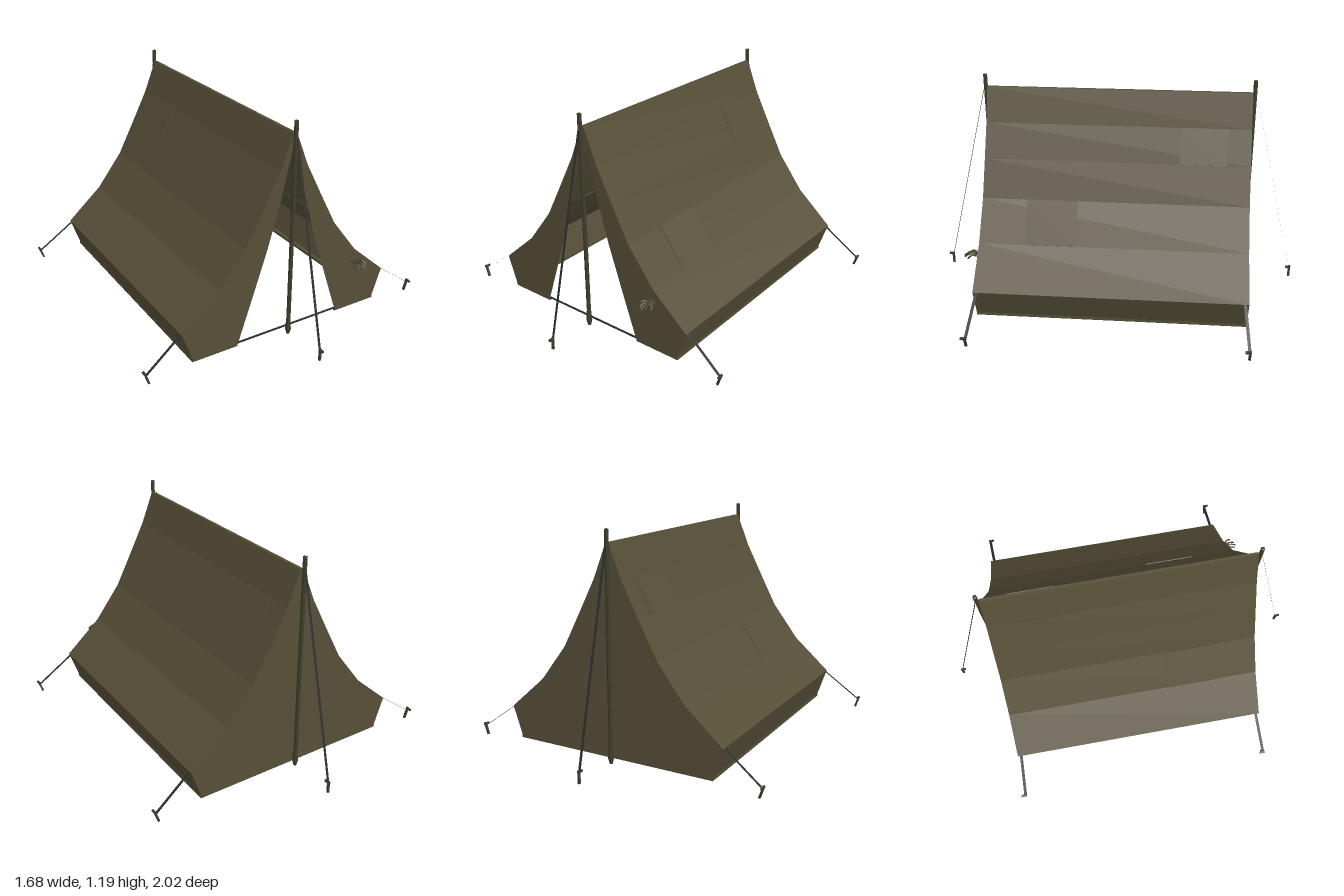
import * as THREE from 'three';

const mat = (name, color, extra = {}) => {
  const m = new THREE.MeshStandardMaterial({ color, flatShading: true, ...extra });
  m.name = name;
  return m;
};
const V = (x, y, z) => new THREE.Vector3(x, y, z);

const L = 0.715; // half length of the tent
// half cross-section from ridge down to the hem
const PROFILE = [[0.008, 1.12], [0.08, 0.94], [0.17, 0.765], [0.27, 0.575], [0.42, 0.38], [0.625, 0.2], [0.57, 0.04]];
// inner edge of a front flap, bottom to top
const FLAP_EDGE = [[0.31, 0.04], [0.225, 0.29], [0.145, 0.53], [0.07, 0.79], [0.008, 1.06]];

export function createModel() {
  const canvas = mat('canvas', 0x554e37, { side: THREE.DoubleSide });
  const wood = mat('dark wood', 0x3e3d2c);
  const cord = mat('dark cord', 0x2b2d2e, { side: THREE.DoubleSide });
  const glove = mat('glove', 0x464331);

  const tent = new THREE.Group();
  tent.name = 'tent';
  const add = (name, geo, material, parent = tent) => {
    const m = new THREE.Mesh(geo, material);
    m.name = name;
    parent.add(m);
    return m;
  };
  const mirrored = pts => pts.map(([x, y]) => [-x, y]);
  const shape = pts => new THREE.ShapeGeometry(new THREE.Shape(pts.map(([x, y]) => new THREE.Vector2(x, y))));

  // roof slopes and low side walls: the outline swept along z
  const outline = [...mirrored(PROFILE).reverse(), ...PROFILE];
  const pos = [];
  for (let i = 0; i < outline.length - 1; i++) {
    const [ax, ay] = outline[i], [bx, by] = outline[i + 1];
    pos.push(ax, ay, L, bx, by, L, bx, by, -L, ax, ay, L, bx, by, -L, ax, ay, -L);
  }
  const roof = new THREE.BufferGeometry();
  roof.setAttribute('position', new THREE.Float32BufferAttribute(pos, 3));
  roof.computeVertexNormals();
  add('roofAndWalls', roof, canvas);

  // closed back, open front with two flaps
  const back = add('backWall', shape(outline), canvas);
  back.rotation.y = Math.PI;
  back.position.z = -L;
  const flap = [...PROFILE, ...FLAP_EDGE];
  add('leftFrontFlap', shape(flap), canvas).position.z = L;
  add('rightFrontFlap', shape(mirrored(flap)), canvas).position.z = L;

  // hems along the sides, back and flap bottoms, and a thin sill cord
  const hem = (name, w, d, x, z) =>
    add(name, new THREE.BoxGeometry(w, 0.016, d), canvas).position.set(x, 0.038, z);
  for (const s of [1, -1]) {
    hem('sideHem', 0.022, 2 * L, s * 0.562, 0);
    hem('flapHem', 0.26, 0.012, s * 0.44, L - 0.006);
  }
  hem('backHem', 1.13, 0.018, 0, -L + 0.009);
  add('sillCord', new THREE.BoxGeometry(0.62, 0.005, 0.01), cord).position.set(0, 0.046, L - 0.005);

  // sewn patches lying on single roof bands
  const patch = (s, band, z0, z1) => {
    const a = V(s * PROFILE[band][0], PROFILE[band][1], 0);
    const b = V(s * PROFILE[band + 1][0], PROFILE[band + 1][1], 0);
    const d = b.clone().sub(a);
    const m = add('roofPatch', new THREE.BoxGeometry(d.length(), 0.008, z1 - z0), canvas);
    m.position.copy(a).add(b).multiplyScalar(0.5).setZ((z0 + z1) / 2);
    m.rotation.z = Math.atan2(d.y, d.x);
  };
  for (const s of [1, -1]) {
    patch(s, 1, -0.59, -0.34);
    patch(s, 3, 0.2, 0.47);
  }

  // flat guy lines
  const guyLine = (from, to, across, width) => {
    const d = to.clone().sub(from), len = d.length();
    d.normalize();
    const w = across.clone().addScaledVector(d, -across.dot(d)).normalize();
    const m = add('guyLine', new THREE.PlaneGeometry(width, len), cord);
    m.quaternion.setFromRotationMatrix(new THREE.Matrix4().makeBasis(w, d, w.clone().cross(d)));
    m.position.copy(from).add(to).multiplyScalar(0.5);
  };

  // hooked pegs leaning outwards; angle turns the outward direction from +x
  const peg = (x, z, angle, lean) => {
    const g = new THREE.Group();
    g.name = 'peg';
    const stem = add('pegStem', new THREE.BoxGeometry(0.01, 0.068, 0.012), wood, g);
    stem.position.y = 0.036;
    const hook = add('pegHook', new THREE.BoxGeometry(0.012, 0.01, 0.03), wood, g);
    hook.position.set(0, 0.062, 0.008);
    g.position.set(x, 0, z);
    g.rotation.set(0, angle, -lean);
    tent.add(g);
  };

  for (const s of [1, -1]) {
    // tent pole with a thicker foot
    const prof = [[0, 0], [0.008, 0.004], [0.015, 0.03], [0.011, 0.1], [0.011, 1.185], [0, 1.19]];
    const pole = add(s > 0 ? 'frontPole' : 'backPole',
      new THREE.LatheGeometry(prof.map(([x, y]) => new THREE.Vector2(x, y)), 8), wood);
    pole.position.set(-0.005, 0, s * 0.725);

    guyLine(V(-0.004, 1.1, s * 0.737), V(-0.004, 0.05, s * 0.994), V(1, 0, 0), 0.014);
    peg(-0.004, s * 0.994, 0, 0);

    for (const t of [1, -1]) {
      guyLine(V(t * 0.622, 0.2, s * 0.695), V(t * 0.828, 0.05, s * 0.715), V(0, 0, 1), 0.016);
      peg(t * 0.812, s * 0.716, t > 0 ? 0 : Math.PI, 0.32);
    }
  }

  // small hand emblem reaching out of the front wall
  const hand = new THREE.Group();
  hand.name = 'hand';
  hand.position.set(0.42, 0.312, L);
  const palm = add('palm', new THREE.SphereGeometry(1, 8, 6), glove, hand);
  palm.scale.set(0.024, 0.008, 0.03);
  palm.position.z = 0.016;
  const tips = [[-0.038, 0.056], [-0.02, 0.074], [-0.003, 0.084], [0.014, 0.078], [0.036, 0.058]];
  for (const [x, z] of tips) {
    const curve = new THREE.QuadraticBezierCurve3(V(x * 0.5, 0.002, 0.022), V(x * 0.9, 0.016, z * 0.7), V(x, -0.01, z));
    add('finger', new THREE.TubeGeometry(curve, 5, 0.0045, 5), glove, hand);
  }
  tent.add(hand);

  return tent;
}
